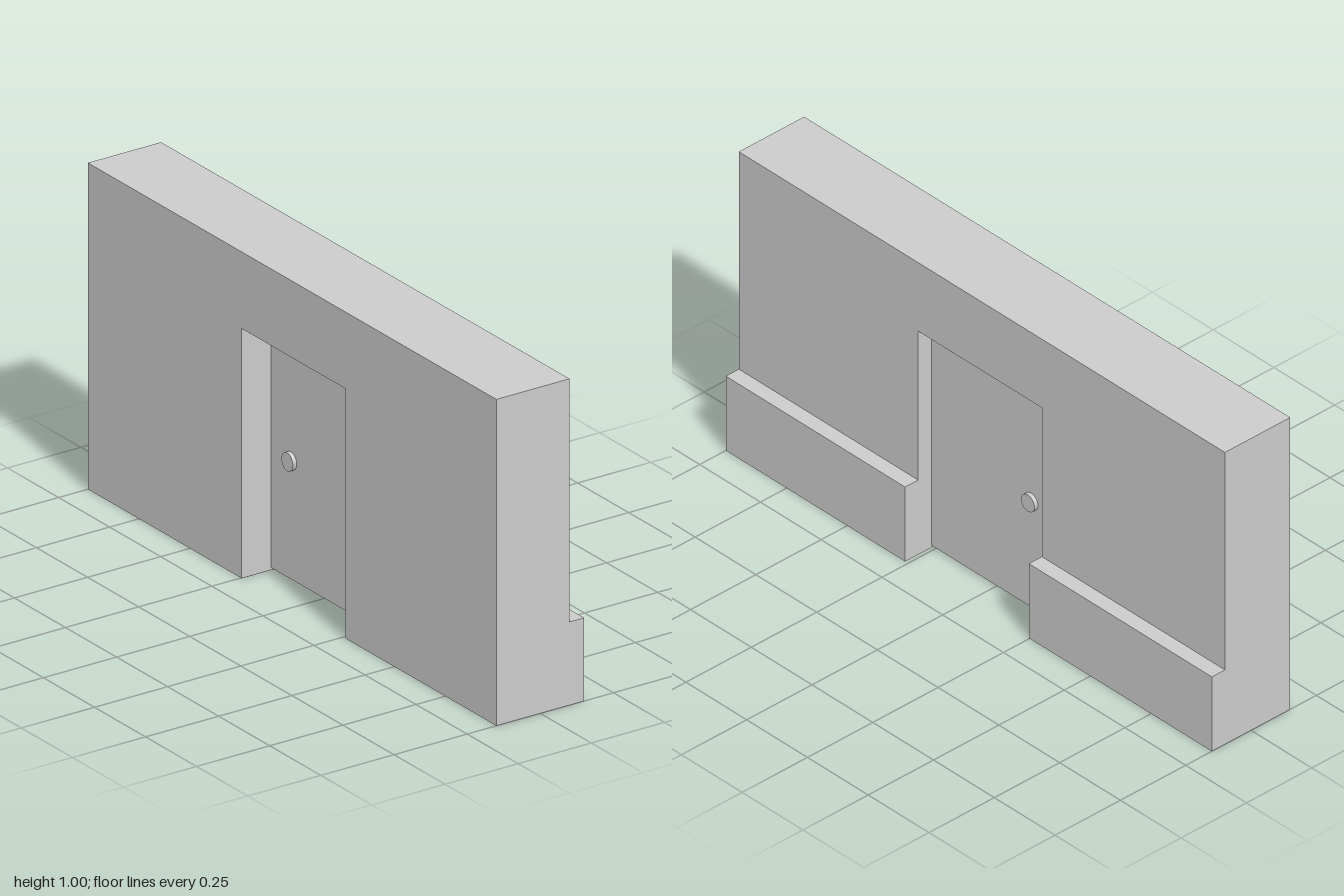
import * as THREE from 'three';

const material = new THREE.MeshStandardMaterial({ color: 0xcccccc });

// Doorway limits along z, its head height, and the wall faces along x
const doorMin = -0.247, doorMax = 0.262, doorTop = 0.765;
const wallBack = -0.15, wallFront = 0.1;

function add(group, name, geometry) {
  const mesh = new THREE.Mesh(geometry, material);
  mesh.name = name;
  group.add(mesh);
  return mesh;
}

// Box given by its limits on each axis
function boxBetween(x0, x1, y0, y1, z0, z1) {
  return new THREE.BoxGeometry(x1 - x0, y1 - y0, z1 - z0)
    .translate((x0 + x1) / 2, (y0 + y1) / 2, (z0 + z1) / 2);
}

export function createModel() {
  const model = new THREE.Group();
  model.name = 'wallWithDoor';

  // Wall: elevation with a doorway notch, extruded through its thickness
  const outline = [
    [-1, 0], [doorMin, 0], [doorMin, doorTop], [doorMax, doorTop],
    [doorMax, 0], [1, 0], [1, 1], [-1, 1],
  ].map(([z, y]) => new THREE.Vector2(z, y));
  const wall = new THREE.ExtrudeGeometry(new THREE.Shape(outline), {
    depth: wallFront - wallBack, bevelEnabled: false,
  });
  wall.rotateY(-Math.PI / 2).translate(wallFront, 0, 0);
  add(model, 'wall', wall);

  // Low plinths on either side of the doorway
  add(model, 'plinthLeft', boxBetween(wallFront, 0.15, 0, 0.255, doorMax, 1));
  add(model, 'plinthRight', boxBetween(wallFront, 0.15, 0, 0.255, -1, doorMin));

  // Door leaf set in the middle of the opening, just clear of the floor
  add(model, 'door', boxBetween(-0.05, 0.05, 0.008, doorTop, doorMin, doorMax));

  // Round knob passing through the door, showing on both faces
  const knob = new THREE.CylinderGeometry(0.028, 0.028, 0.126, 32);
  knob.rotateZ(Math.PI / 2);
  add(model, 'doorKnob', knob).position.set(0, 0.37, -0.149);

  return model;
}
